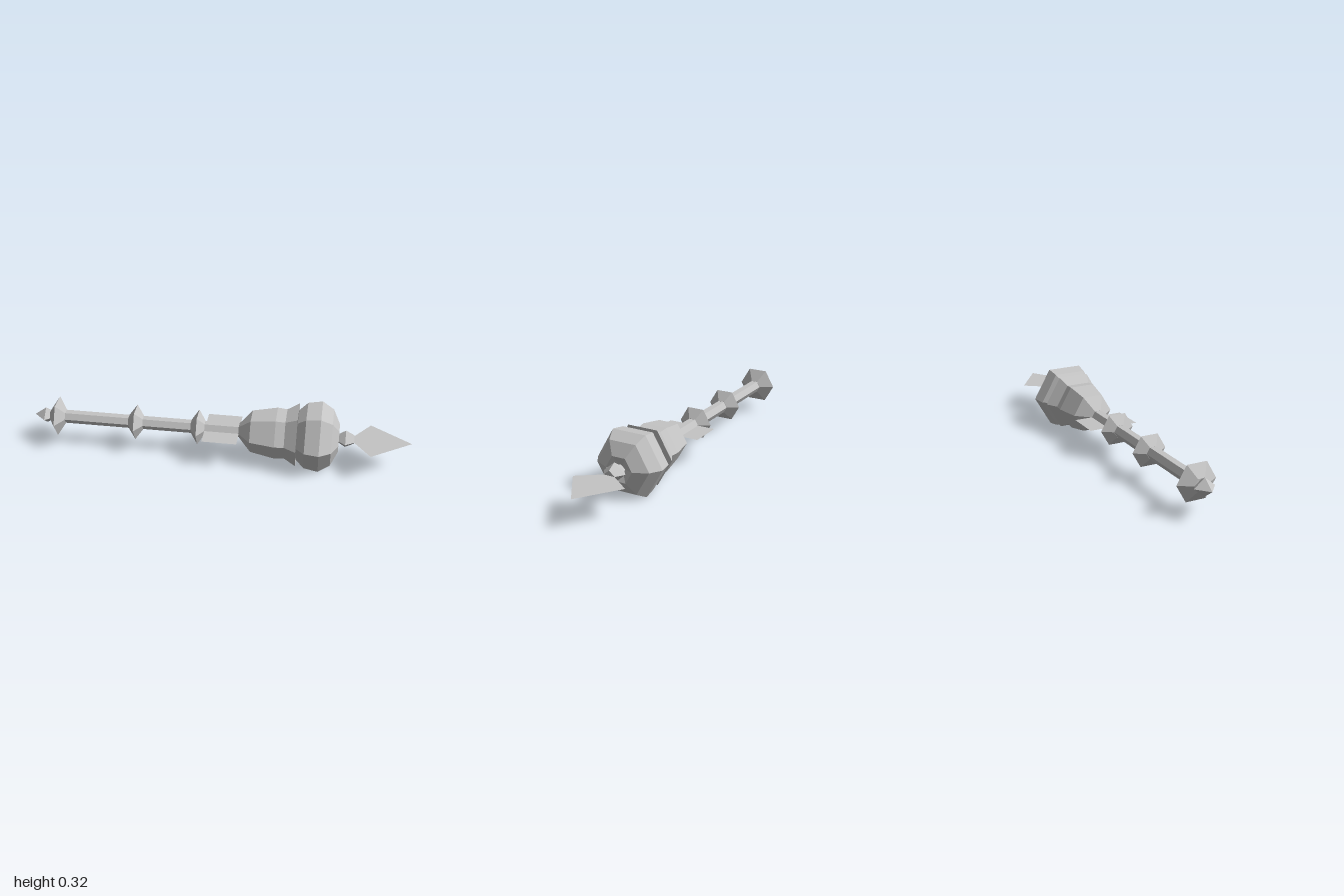
import * as THREE from 'three';

const AXIS_Y = 0.16;

export function createModel() {
  const group = new THREE.Group();
  group.name = 'mace';
  const steel = new THREE.MeshStandardMaterial({ color: 0xc4c4c4, flatShading: true, side: THREE.DoubleSide });
  steel.name = 'steel grey';

  function add(name, geometry) {
    const mesh = new THREE.Mesh(geometry, steel);
    mesh.name = name;
    mesh.position.y = AXIS_Y;
    group.add(mesh);
  }

  // Faceted solid turned around the x axis; profile is [x, radius], corners at +-z
  function turned(name, profile, sides = 6, squash = 1) {
    const points = profile.map(([x, r]) => new THREE.Vector2(r, x));
    const geometry = new THREE.LatheGeometry(points, sides).toNonIndexed();
    geometry.rotateZ(-Math.PI / 2);
    geometry.scale(1, squash, 1);
    geometry.computeVertexNormals();
    add(name, geometry);
  }

  // Flat horizontal sheet; outline is [x, z]
  function plate(name, outline) {
    const shape = new THREE.Shape(outline.map(([x, z]) => new THREE.Vector2(x, -z)));
    add(name, new THREE.ShapeGeometry(shape).rotateX(-Math.PI / 2));
  }

  // Handle
  turned('shaft', [[-0.88, 0.035], [0.12, 0.035]]);

  // Grip rings and pommel ring
  for (const [name, x, radius, half] of [
    ['pommelRing', -0.87, 0.105, 0.041],
    ['lowerRing', -0.445, 0.092, 0.039],
    ['upperRing', -0.112, 0.092, 0.037],
  ]) {
    turned(name, [[x - half, 0], [x - half, 0.036], [x, radius], [x + half, 0.036], [x + half, 0]]);
  }

  // Four-sided pommel point
  turned('pommelPoint', [[-1, 0], [-0.937, 0.055], [-0.91, 0.035], [-0.91, 0]], 4, 0.84);

  // Lower head with flared lip
  turned('lowerHead', [
    [0.105, 0], [0.105, 0.036], [0.17, 0.109], [0.3, 0.134],
    [0.35, 0.129], [0.412, 0.165], [0.408, 0.12],
  ]);

  // Upper head with recessed socket at the tip
  turned('upperHead', [
    [0.408, 0.12], [0.412, 0.13], [0.455, 0.171], [0.53, 0.184],
    [0.59, 0.147], [0.626, 0.073], [0.605, 0.02], [0.605, 0],
  ]);

  // Four-sided finial
  turned('finial', [[0.6, 0], [0.6, 0.02], [0.625, 0.032], [0.66, 0.06], [0.705, 0.031], [0.705, 0]], 4, 0.85);

  // Flat guard and spear blade
  plate('guard', [[-0.075, -0.133], [0.107, -0.133], [0.107, 0.133], [-0.075, 0.133]]);
  plate('blade', [[0.705, -0.031], [0.79, -0.145], [1, 0], [0.79, 0.145], [0.705, 0.031]]);

  return group;
}
